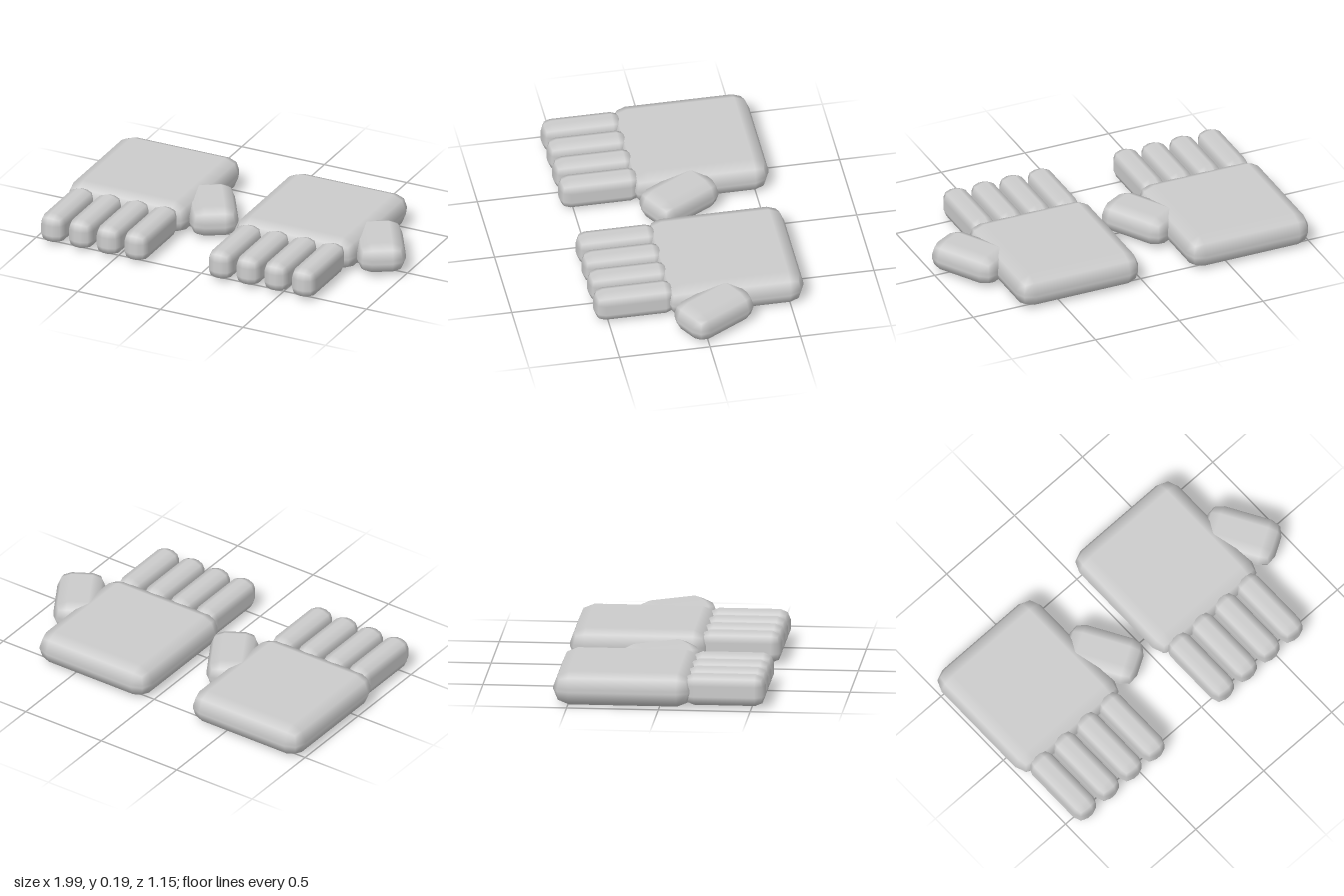
import * as THREE from 'three';
import { RoundedBoxGeometry } from 'three/addons/geometries/RoundedBoxGeometry.js';

const grey = new THREE.MeshStandardMaterial({ color: 0xcccccc });
grey.name = 'light grey';

// Box whose edges are rounded by two facets with smooth normals
function softBox(name, size, radius, position) {
  const mesh = new THREE.Mesh(new RoundedBoxGeometry(...size, 1, radius), grey);
  mesh.name = name;
  mesh.position.set(...position);
  return mesh;
}

// One flat hand, fingers toward +z and thumb on the +x side of the palm
function createHand(name) {
  const hand = new THREE.Group();
  hand.name = name;

  hand.add(softBox('palm', [0.73, 0.185, 0.76], 0.085, [0, 0.0925, -0.2]));

  for (let i = 0; i < 4; i++) {
    hand.add(softBox('finger' + (i + 1), [0.145, 0.17, 0.445], 0.056,
      [-0.25 + i * 0.168, 0.094, 0.352]));
  }

  // Thumb splayed outward
  const thumb = softBox('thumb', [0.265, 0.17, 0.42], 0.075, [0.424, 0.094, -0.058]);
  thumb.rotation.y = 0.53;
  hand.add(thumb);
  return hand;
}

export function createModel() {
  const model = new THREE.Group();
  model.name = 'pairOfHands';
  const right = createHand('rightHand');
  right.position.x = -0.635;
  const left = createHand('leftHand');
  left.position.x = 0.38;
  model.add(right, left);
  return model;
}
